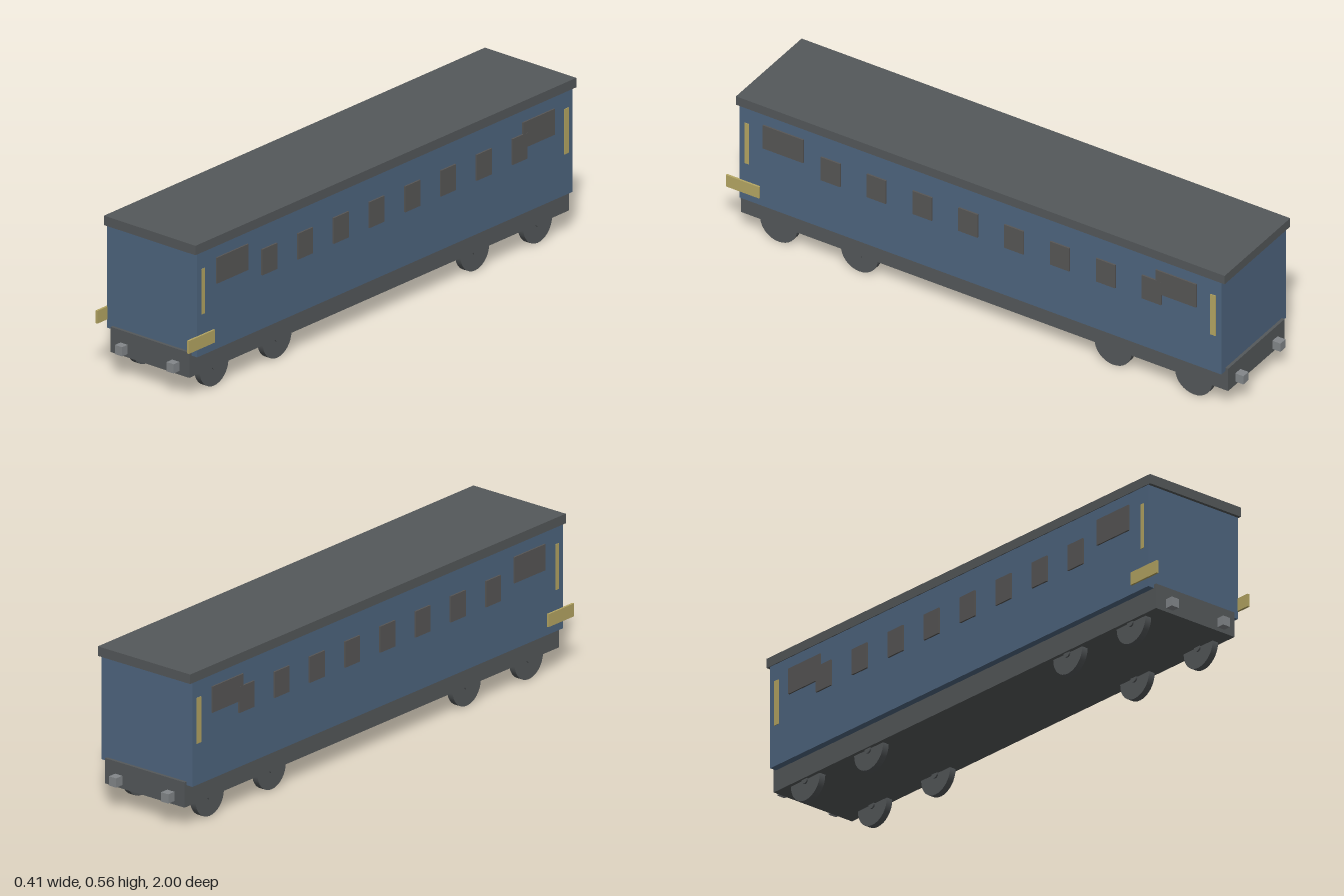
import * as THREE from 'three';

const mat = (name, color) => Object.assign(new THREE.MeshStandardMaterial({ color }), { name });

export function createModel() {
  const blue = mat('coach blue', 0x4e657f);
  const grey = mat('dark grey', 0x54585a);
  const glass = mat('window grey', 0x575655);
  const gold = mat('pale gold', 0xb5a663);
  const steel = mat('buffer grey', 0x83878a);

  const model = new THREE.Group();
  model.name = 'railwayCarriage';

  // Box given by its minimum and maximum on each axis
  function box(name, material, [x0, x1], [y0, y1], [z0, z1]) {
    const mesh = new THREE.Mesh(new THREE.BoxGeometry(x1 - x0, y1 - y0, z1 - z0), material);
    mesh.position.set((x0 + x1) / 2, (y0 + y1) / 2, (z0 + z1) / 2);
    mesh.name = name;
    model.add(mesh);
  }

  // The same box on both sides of the carriage
  function pair(name, material, [x0, x1], y, z) {
    box(name + 'Left', material, [x0, x1], y, z);
    box(name + 'Right', material, [-x1, -x0], y, z);
  }

  // Main shell
  box('body', blue, [-0.198, 0.198], [0.152, 0.526], [-0.957, 0.95]);
  box('roof', grey, [-0.201, 0.201], [0.524, 0.558], [-0.972, 0.962]);
  box('chassis', grey, [-0.173, 0.173], [0.075, 0.165], [-0.968, 0.961]);

  // Row of small windows, with a larger one at each end
  for (let i = 0; i < 8; i++) {
    const z = 0.587 - 0.1815 * i;
    pair('window' + (i + 1), glass, [0.196, 0.204], [0.347, 0.44], [z - 0.038, z + 0.038]);
  }
  pair('frontLargeWindow', glass, [0.196, 0.2035], [0.389, 0.482], [0.695, 0.855]);
  pair('rearLargeWindow', glass, [0.196, 0.2035], [0.389, 0.482], [-0.86, -0.7]);

  // Door handrails and front side plates
  pair('frontHandrail', gold, [0.196, 0.2], [0.3, 0.463], [0.912, 0.929]);
  pair('rearHandrail', gold, [0.196, 0.2], [0.3, 0.463], [-0.936, -0.914]);
  pair('sidePlate', gold, [0.197, 0.205], [0.182, 0.228], [0.868, 1]);

  // Buffers
  pair('frontBuffer', steel, [0.098, 0.129], [0.088, 0.121], [0.955, 0.99]);
  pair('rearBuffer', steel, [0.098, 0.129], [0.088, 0.121], [-1, -0.96]);

  // Wheels with small hubs
  const wheelGeometry = new THREE.CylinderGeometry(0.073, 0.073, 0.024, 32).rotateZ(Math.PI / 2);
  const hubGeometry = new THREE.CylinderGeometry(0.014, 0.014, 0.036, 16).rotateZ(Math.PI / 2);
  for (const z of [0.82, 0.5, -0.504, -0.823]) {
    for (const side of [-1, 1]) {
      const wheel = new THREE.Group();
      wheel.name = 'wheel';
      const disc = new THREE.Mesh(wheelGeometry, grey);
      disc.name = 'wheelDisc';
      const hub = new THREE.Mesh(hubGeometry, grey);
      hub.name = 'wheelHub';
      wheel.add(disc, hub);
      wheel.position.set(side * 0.148, 0.073, z);
      model.add(wheel);
    }
  }
  return model;
}
